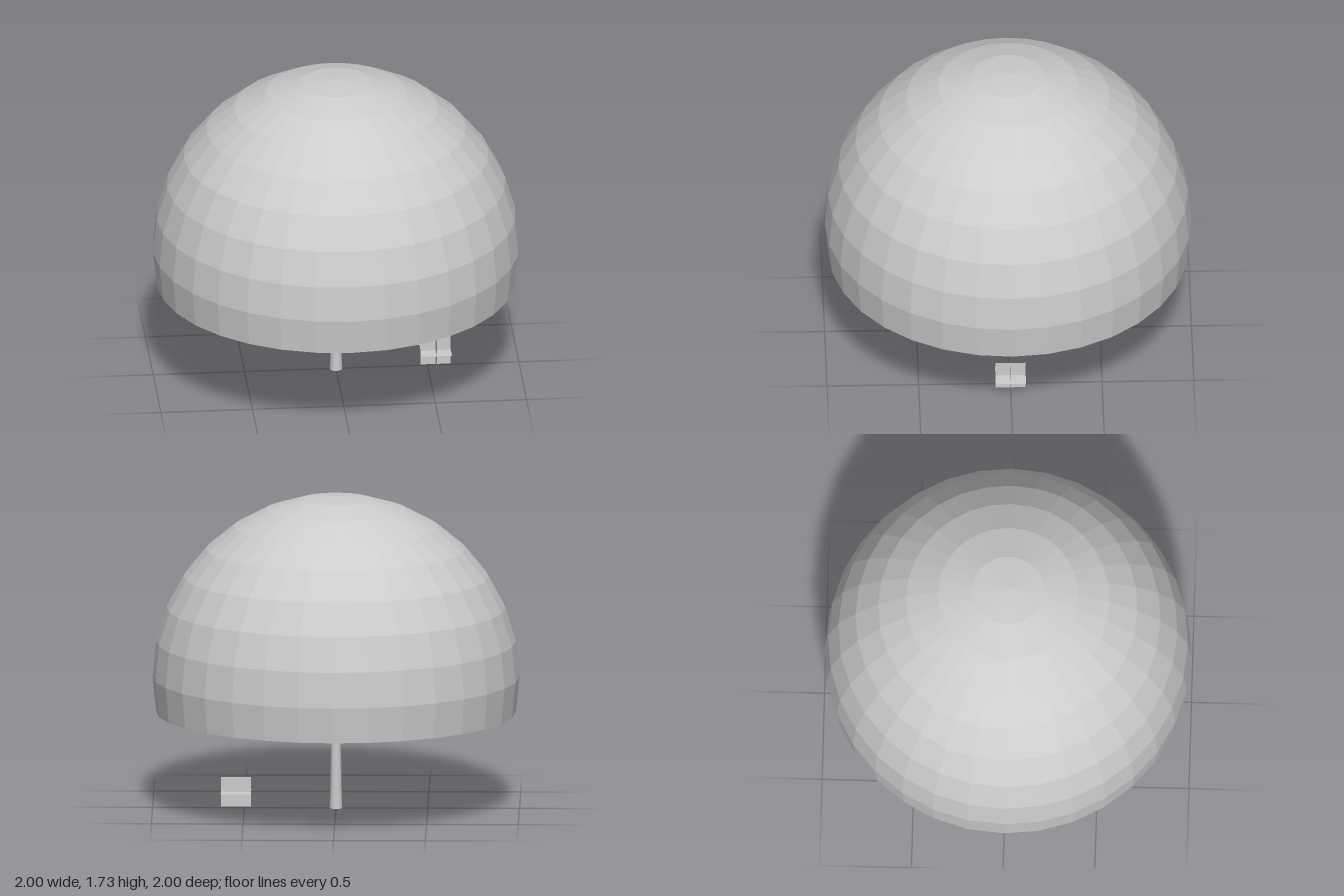
import * as THREE from 'three';

// small seeded random generator
function seeded(seed) {
  return () => {
    seed = (seed * 16807) % 2147483647;
    return seed / 2147483647;
  };
}

export function createModel() {
  const model = new THREE.Group();
  const smooth = new THREE.MeshStandardMaterial({ color: 0xcccccc });
  const flat = new THREE.MeshStandardMaterial({ color: 0xcccccc, flatShading: true, side: THREE.DoubleSide });
  const random = seeded(41);

  const add = (name, geometry, material, parent = model) => {
    const mesh = new THREE.Mesh(geometry, material);
    mesh.name = name;
    parent.add(mesh);
    return mesh;
  };

  // open faceted dome, reaching one ring below its equator
  const dome = add('dome', new THREE.SphereGeometry(1, 32, 9, 0, Math.PI * 2, 0, Math.PI * 9 / 16), flat);
  dome.position.y = 0.73;

  // tapered trunk with a slightly flared foot
  const limb = (name, from, to, r0, r1) => {
    const axis = to.clone().sub(from);
    const mesh = add(name, new THREE.CylinderGeometry(r1, r0, axis.length(), 12), smooth);
    mesh.position.copy(from).addScaledVector(axis, 0.5);
    mesh.quaternion.setFromUnitVectors(new THREE.Vector3(0, 1, 0), axis.normalize());
  };
  const v = (x, y, z) => new THREE.Vector3(x, y, z);
  limb('trunkFoot', v(0, 0, 0), v(0, 0.07, 0), 0.035, 0.032);
  limb('trunk', v(0, 0.07, 0), v(0, 0.8, 0), 0.032, 0.02);

  // branches fanning into the canopy
  const tips = [[0.35, 1.2, -0.3], [-0.2, 1.2, -0.25], [0.3, 1.2, 0.2], [-0.15, 1.2, 0.15], [0.1, 1.4, -0.05]];
  tips.forEach((tip) => limb('branch', v(0, 0.78, 0), v(...tip), 0.019, 0.007));

  // leaf cluster: three square planes crossing at right angles
  const leaf = new THREE.PlaneGeometry(0.165, 0.165);
  const leafCluster = (name, position, parent = model) => {
    const cluster = new THREE.Group();
    cluster.name = name;
    cluster.position.copy(position);
    add('leaf', leaf, flat, cluster);
    add('leaf', leaf, flat, cluster).rotation.y = Math.PI / 2;
    add('leaf', leaf, flat, cluster).rotation.x = Math.PI / 2;
    parent.add(cluster);
    return cluster;
  };

  // single cluster standing beside the trunk
  leafCluster('groundLeafCluster', v(0.545, 0.088, 0));

  // scatter clusters through the outer part of a ball
  const canopy = new THREE.Group();
  canopy.name = 'canopy';
  model.add(canopy);
  const scatter = (center, radius, count, inner) => {
    for (let i = 0; i < count; i++) {
      const y = 1 - 2 * (i + 0.5) / count;
      const a = i * 2.39996;
      const ring = Math.sqrt(1 - y * y);
      const r = radius * (inner + (1 - inner) * random());
      const p = v(Math.cos(a) * ring, y, Math.sin(a) * ring).multiplyScalar(r).add(center);
      leafCluster('leafCluster', p, canopy).rotation.set(random() * 6.28, random() * 6.28, random() * 6.28);
    }
  };
  scatter(v(0.1, 1.1, -0.1), 0.44, 150, 0.65);
  scatter(v(0.3, 0.66, -0.2), 0.13, 14, 0.6); // low hanging bough

  return model;
}
